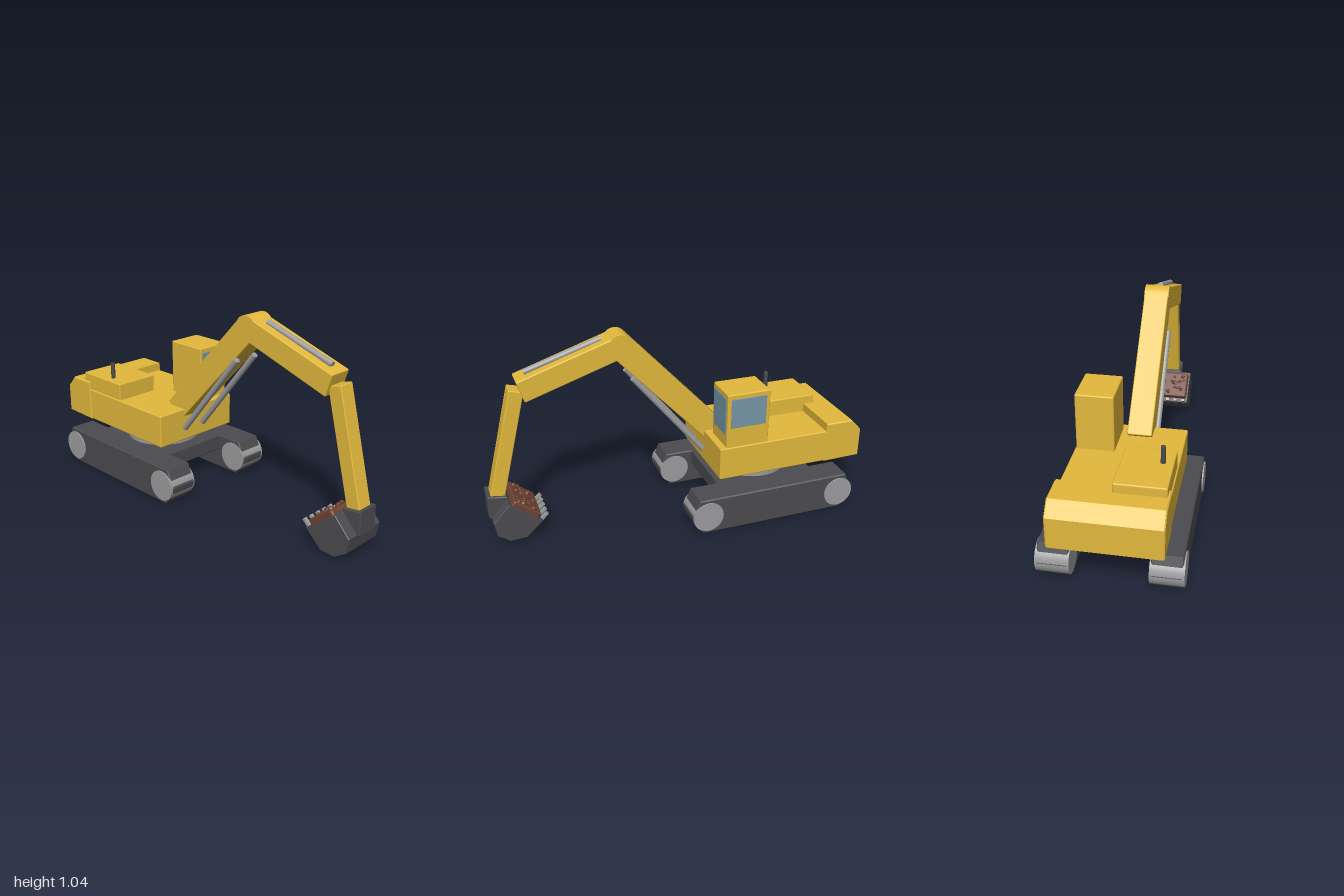
import * as THREE from 'three';
import { RoundedBoxGeometry } from 'three/addons/geometries/RoundedBoxGeometry.js';

const paint = (color) => new THREE.MeshStandardMaterial({ color });
const yellow = paint(0xe3b93c), dark = paint(0x4c4c50), steel = paint(0x9c9c9e);
const glass = paint(0x7797a8), soil = paint(0x6e4232);
const ARM_Z = 0.031;

export function createModel() {
  const model = new THREE.Group();

  function add(name, geometry, material, parent = model) {
    const mesh = new THREE.Mesh(geometry, material);
    mesh.name = name;
    parent.add(mesh);
    return mesh;
  }

  // Softly rounded box given by its limits on each axis
  function box(name, [x0, x1], [y0, y1], [z0, z1], material, r = 0.007) {
    const g = new RoundedBoxGeometry(x1 - x0, y1 - y0, z1 - z0, 2, r);
    return add(name, g.translate((x0 + x1) / 2, (y0 + y1) / 2, (z0 + z1) / 2), material);
  }

  // Side profile extruded across the machine, with a small bevel
  function prism(name, points, width, z, material, bevel = 0.006) {
    const shape = new THREE.Shape(points.map(([x, y]) => new THREE.Vector2(x, y)));
    const g = new THREE.ExtrudeGeometry(shape, {
      depth: width - 2 * bevel, bevelEnabled: true, bevelSegments: 1,
      bevelSize: bevel, bevelThickness: bevel, bevelOffset: -bevel,
    });
    return add(name, g.translate(0, 0, z - width / 2 + bevel), material);
  }

  // Box beam running between two points in the arm plane
  function beam(name, [x0, y0], [x1, y1], height, width) {
    const g = new RoundedBoxGeometry(Math.hypot(x1 - x0, y1 - y0), height, width, 2, 0.006);
    const mesh = add(name, g, yellow);
    mesh.position.set((x0 + x1) / 2, (y0 + y1) / 2, ARM_Z);
    mesh.rotation.z = Math.atan2(y1 - y0, x1 - x0);
  }

  // Round rod between two points in the arm plane
  function rod(name, [x0, y0], [x1, y1], z, radius) {
    const g = new THREE.CylinderGeometry(radius, radius, Math.hypot(x1 - x0, y1 - y0), 20);
    const mesh = add(name, g, steel);
    mesh.position.set((x0 + x1) / 2, (y0 + y1) / 2, z);
    mesh.rotation.z = Math.atan2(y1 - y0, x1 - x0) - Math.PI / 2;
  }

  // Tracks and end wheels
  const trackProfile = [[-0.865, 0], [-0.06, 0], [0, 0.08], [0.003, 0.105],
    [-0.037, 0.2], [-0.888, 0.2], [-0.928, 0.105], [-0.925, 0.08]];
  for (const side of [-1, 1]) {
    prism('track', trackProfile, 0.152, side * 0.266, dark);
    for (const x of [-0.845, -0.083]) {
      const g = new THREE.CylinderGeometry(0.083, 0.083, 0.163, 32).rotateX(Math.PI / 2);
      add('trackWheel', g, steel).position.set(x, 0.1, side * 0.2675);
    }
  }

  // Undercarriage and turntable
  box('undercarriage', [-0.74, -0.19], [0.112, 0.2], [-0.2, 0.2], dark);
  add('turntable', new THREE.CylinderGeometry(0.203, 0.203, 0.07, 48), steel)
    .position.set(-0.46, 0.231, 0);

  // Upper body, counterweight, engine hood and exhaust
  box('body', [-0.98, -0.175], [0.26, 0.44], [-0.263, 0.263], yellow);
  prism('counterweight', [[-1, 0.262], [-0.79, 0.258], [-0.79, 0.485], [-0.94, 0.485], [-1, 0.42]],
    0.537, 0, yellow);
  box('engineHood', [-0.85, -0.525], [0.42, 0.533], [0.008, 0.256], yellow);
  add('exhaust', new THREE.CylinderGeometry(0.012, 0.012, 0.1, 16), dark)
    .position.set(-0.645, 0.57, 0.205);

  // Cab and windows
  box('cab', [-0.445, -0.21], [0.42, 0.737], [-0.257, -0.065], yellow);
  box('frontWindow', [-0.22, -0.206], [0.507, 0.711], [-0.24, -0.08], glass, 0.002);
  box('sideWindow', [-0.425, -0.23], [0.55, 0.711], [-0.261, -0.245], glass, 0.002);

  // Boom, knee joint, forearm and stick
  const knee = [0.275, 0.975];
  beam('boom', [-0.252, 0.412], knee, 0.13, 0.126);
  add('kneeJoint', new THREE.CylinderGeometry(0.065, 0.065, 0.128, 32).rotateX(Math.PI / 2), yellow)
    .position.set(...knee, ARM_Z);
  beam('forearm', knee, [0.785, 0.807], 0.118, 0.126);
  beam('stick', [0.802, 0.81], [0.95, 0.22], 0.075, 0.088);

  // Hydraulic cylinders
  for (const side of [-1, 1])
    rod('boomCylinder', [-0.165, 0.335], [0.22, 0.805], ARM_Z + side * 0.065, 0.016);
  rod('armCylinder', [0.362, 1.012], [0.755, 0.888], ARM_Z, 0.015);

  // Bucket, mounting bracket and teeth
  prism('bucket', [[0.735, 0.1], [0.825, 0.017], [0.91, 0.012], [0.972, 0.055],
    [0.987, 0.135], [0.9, 0.228]], 0.242, ARM_Z, dark, 0.003);
  prism('bucketBracket', [[0.885, 0.2], [0.985, 0.125], [1, 0.135], [1, 0.257], [0.9, 0.242]],
    0.121, ARM_Z, dark, 0.004);
  for (let i = -2; i <= 2; i++) {
    const tooth = add('bucketTooth', new THREE.BoxGeometry(0.055, 0.014, 0.02), dark);
    tooth.material = steel;
    tooth.position.set(0.727, 0.112, ARM_Z + i * 0.048);
    tooth.rotation.z = -0.75;
  }

  // Soil load: low mound with scattered clods over the bucket mouth
  const load = new THREE.Group();
  load.name = 'soilLoad';
  load.position.set(0.82, 0.168, ARM_Z);
  load.rotation.z = 0.66;
  model.add(load);
  add('soilMound', new RoundedBoxGeometry(0.165, 0.055, 0.222, 2, 0.012), soil, load);
  let seed = 7;
  const random = () => (seed = (seed * 16807) % 2147483647) / 2147483647;
  for (let i = 0; i < 26; i++) {
    const clod = add('soilClod', new THREE.DodecahedronGeometry(0.006 + random() * 0.009), soil, load);
    clod.position.set((random() - 0.5) * 0.14, 0.027, (random() - 0.5) * 0.2);
    clod.rotation.set(random() * 3, random() * 3, 0);
  }
  return model;
}
